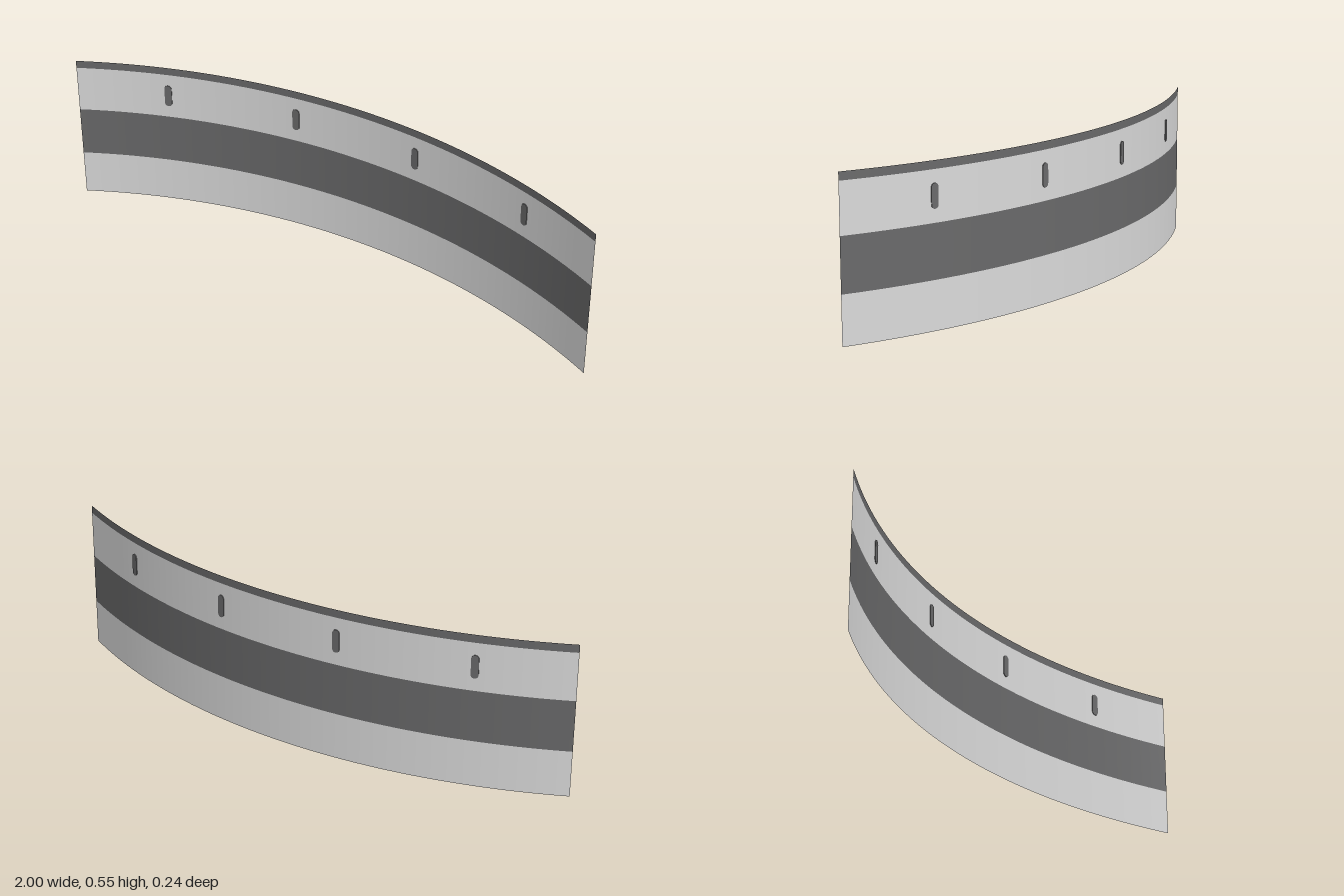
import * as THREE from 'three';

export function createModel() {
  const group = new THREE.Group();
  const lightGrey = new THREE.MeshStandardMaterial({ color: 0xdadada, side: THREE.DoubleSide });
  lightGrey.name = 'light grey';
  const darkGrey = new THREE.MeshStandardMaterial({ color: 0x69696a, side: THREE.DoubleSide });
  darkGrey.name = 'dark grey';

  // The wall is an arc, hollow towards the front, with its ends at x = -1 and 1
  const depth = 0.24;
  const radius = (1 + depth * depth) / (2 * depth);
  const centreZ = radius - depth / 2;
  const halfAngle = Math.asin(1 / radius);

  // Horizontal bands of the thin curved wall
  const bands = [
    ['lowerBand', 0, 0.165, lightGrey],
    ['middleStripe', 0.165, 0.347, darkGrey],
    ['upperBand', 0.347, 0.517, lightGrey],
    ['topRim', 0.517, 0.545, darkGrey],
  ];
  for (const [name, bottom, top, material] of bands) {
    const geometry = new THREE.CylinderGeometry(
      radius, radius, top - bottom, 48, 1, true, Math.PI - halfAngle, 2 * halfAngle);
    const band = new THREE.Mesh(geometry, material);
    band.name = name;
    band.position.set(0, (bottom + top) / 2, centreZ);
    group.add(band);
  }

  // Small upright slots with rounded ends, showing on both faces of the wall
  const halfWidth = 0.013, halfStraight = 0.028, thickness = 0.005;
  const outline = new THREE.Shape();
  outline.absarc(0, halfStraight, halfWidth, 0, Math.PI);
  outline.absarc(0, -halfStraight, halfWidth, Math.PI, 2 * Math.PI);
  const slotGeometry = new THREE.ExtrudeGeometry(outline, {
    depth: thickness, bevelEnabled: false, curveSegments: 6,
  });
  slotGeometry.translate(0, 0, -thickness / 2);
  for (const x of [-0.7, -0.235, 0.235, 0.695]) {
    const angle = Math.asin(x / radius);
    const slot = new THREE.Mesh(slotGeometry, darkGrey);
    slot.name = 'slot';
    slot.position.set(x, 0.433, centreZ - radius * Math.cos(angle));
    slot.rotation.y = -angle;
    group.add(slot);
  }
  return group;
}
